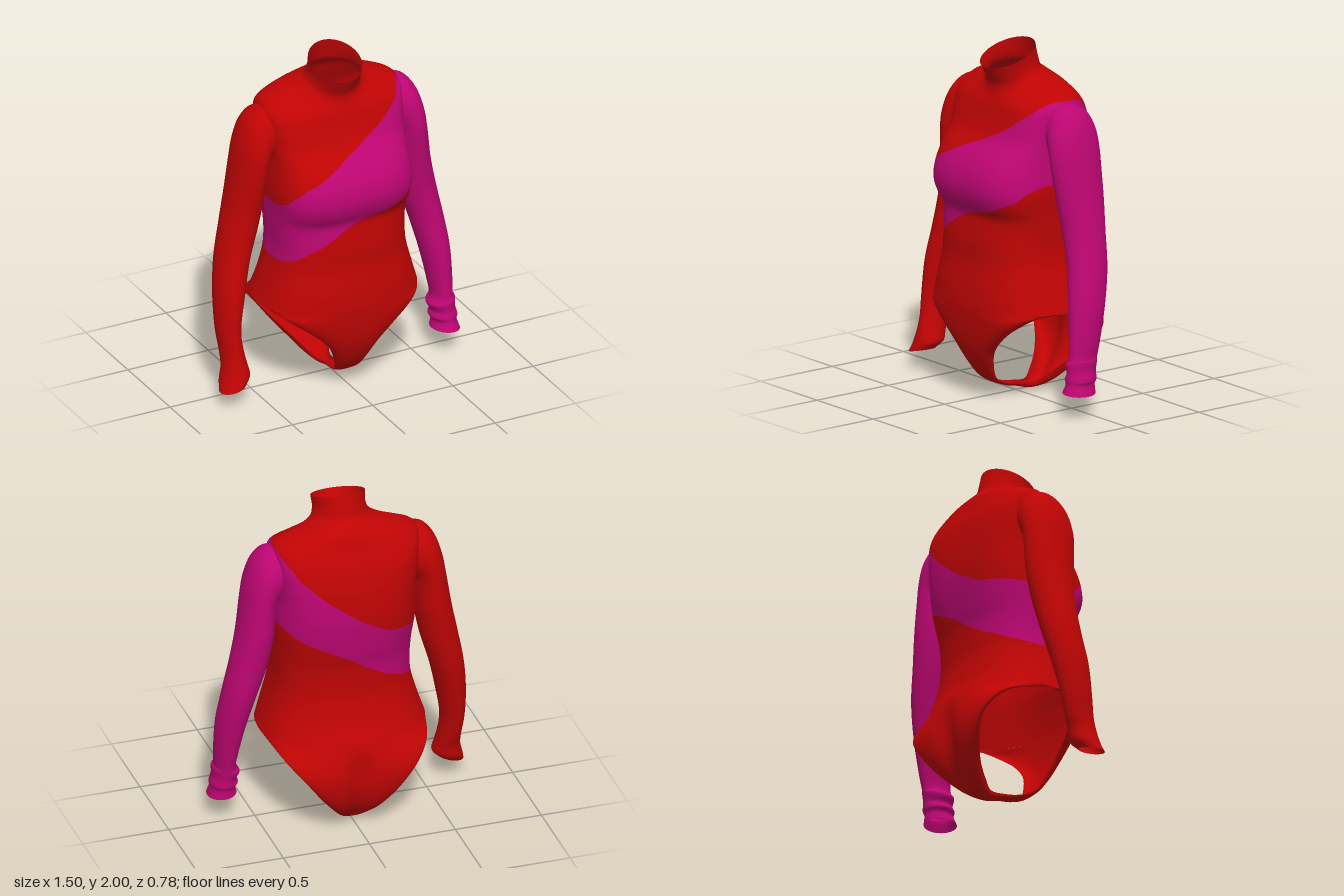
import * as THREE from 'three';

const RED = 0xc00404, MAGENTA = 0xbe0672;
const V = (x, y, z) => new THREE.Vector3(x, y, z);
const spow = (v, q) => Math.sign(v) * Math.pow(Math.abs(v), q);

// Smooth grid of points: point(column, row); closed grids wrap their columns
function grid(cols, rows, closed, point) {
  const pos = [], index = [], n = closed ? cols : cols + 1;
  for (let j = 0; j <= rows; j++)
    for (let i = 0; i < n; i++) pos.push(...point(i, j).toArray());
  for (let j = 0; j < rows; j++)
    for (let i = 0; i < cols; i++) {
      const a = j * n + i, b = j * n + (i + 1) % n;
      index.push(a, b, b + n, a, b + n, a + n);
    }
  const geo = new THREE.BufferGeometry();
  geo.setAttribute('position', new THREE.Float32BufferAttribute(pos, 3));
  geo.setIndex(index);
  geo.computeVertexNormals();
  return geo;
}

function cloth(name, geo, color) {
  const mesh = new THREE.Mesh(geo, new THREE.MeshStandardMaterial({ color, side: THREE.DoubleSide }));
  mesh.name = name;
  return mesh;
}

// Some rows of a closed grid, keeping the shared smooth normals
function rowsOf(geo, cols, from, to) {
  const part = geo.clone();
  part.setIndex(Array.from(geo.index.array).slice(from * cols * 6, to * cols * 6));
  return part;
}

// Piecewise linear lookup in [x, y] pairs
function lookup(table, x) {
  for (let i = 1; i < table.length; i++) {
    const [x0, y0] = table[i - 1], [x1, y1] = table[i];
    if (x <= x1 || i === table.length - 1)
      return THREE.MathUtils.lerp(y0, y1, THREE.MathUtils.clamp((x - x0) / (x1 - x0), 0, 1));
  }
}

// Torso sections, lower: half width, side y, side z, front y, front z, back y, back z,
// front roundness, back roundness
const TRUNK = [
  [.47, .54, 0, .55, .37, .55, -.345, .75, .9],
  [.435, .65, .02, .65, .365, .65, -.3, .75, .85],
  [.395, .8, .03, .8, .345, .8, -.265, .75, .8],
  [.385, .9, .03, .9, .345, .9, -.262, .75, .78],
  [.39, 1, .03, 1, .337, 1, -.268, .75, .78],
  [.395, 1.08, .03, 1.07, .332, 1.08, -.285, .7, .76],
  [.4, 1.14, .02, 1.13, .365, 1.14, -.295, .64, .74],
  [.408, 1.22, .02, 1.21, .388, 1.22, -.307, .62, .72],
  [.405, 1.32, 0, 1.31, .375, 1.32, -.315, .62, .7],
];
// Torso sections, chest to collar
const YOKE = [
  [.4, 1.42, -.02, 1.41, .32, 1.42, -.312, .62, .66],
  [.405, 1.52, -.03, 1.5, .24, 1.52, -.3, .57, .6],
  [.412, 1.64, -.04, 1.6, .2, 1.63, -.275, .55, .57],
  [.415, 1.735, -.04, 1.67, .18, 1.72, -.235, .68, .68],
  [.32, 1.785, -.03, 1.71, .165, 1.795, -.205, .85, .85],
  [.21, 1.815, 0, 1.74, .158, 1.84, -.165, 1, 1],
  [.163, 1.84, .02, 1.78, .157, 1.865, -.135, 1, 1],
  [.147, 1.885, .04, 1.825, .18, 1.92, -.12, 1, 1],
  [.15, 1.94, .055, 1.88, .21, 2, -.1, 1, 1],
];
// Heights of the diagonal band's edges across the front and back
const BAND = {
  lowFront: [[-.4, .82], [-.3, .91], [-.1, 1.03], [0, 1.07], [.2, 1.12], [.35, 1.19], [.4, 1.27]],
  lowBack: [[-.4, .82], [-.2, .92], [0, 1.03], [.15, 1.11], [.3, 1.19], [.4, 1.27]],
  topFront: [[-.4, 1.18], [-.35, 1.27], [-.3, 1.32], [-.1, 1.42], [0, 1.47], [.2, 1.6], [.4, 1.735]],
  topBack: [[-.4, 1.18], [-.2, 1.21], [0, 1.32], [.15, 1.44], [.3, 1.6], [.4, 1.735]],
};

function torso(group) {
  const COLS = 128, LOW = 26, MID = 18, TOP = 36;
  const columns = [];
  for (let i = 0; i < COLS; i++) {
    const a = i / COLS * Math.PI * 2, s = Math.sin(a), c = Math.cos(a);
    const curve = new THREE.CatmullRomCurve3([...TRUNK, ...YOKE].map(([w, ys, zs, yf, zf, yb, zb, qf, qb]) => {
      const [y, z, q] = c > 0 ? [yf, zf, qf] : [yb, zb, qb], k = Math.pow(Math.abs(c), q);
      return V(w * spow(s, q), ys + (y - ys) * k, zs + (z - zs) * k);
    }));
    const x = .4 * spow(s, .68), face = c > 0 ? 'Front' : 'Back';
    // Curve parameter at a given height
    const at = (y) => {
      let lo = 0, hi = 1;
      for (let n = 0; n < 24; n++) {
        const m = (lo + hi) / 2;
        if (curve.getPoint(m).y < y) lo = m; else hi = m;
      }
      return lo;
    };
    columns.push({ curve, t: [0, at(lookup(BAND['low' + face], x)), at(lookup(BAND['top' + face], x)), 1] });
  }
  const geo = grid(COLS, LOW + MID + TOP, true, (i, j) => {
    const { curve, t } = columns[i];
    const u = j <= LOW ? THREE.MathUtils.lerp(t[0], t[1], j / LOW)
      : j <= LOW + MID ? THREE.MathUtils.lerp(t[1], t[2], (j - LOW) / MID)
        : THREE.MathUtils.lerp(t[2], t[3], (j - LOW - MID) / TOP);
    return curve.getPoint(u);
  });
  group.add(
    cloth('lowerTorso', rowsOf(geo, COLS, 0, LOW), RED),
    cloth('diagonalBand', rowsOf(geo, COLS, LOW, LOW + MID), MAGENTA),
    cloth('yokeAndCollar', rowsOf(geo, COLS, LOW + MID, LOW + MID + TOP), RED));
}

// High-cut brief, front to back: half width, middle y, middle z, edge y, edge z, roundness
const BRIEF = [
  [.47, .55, .37, .54, 0, .75],
  [.42, .5, .367, .525, .16, .75],
  [.35, .45, .362, .475, .235, .75],
  [.25, .37, .35, .4, .265, .75],
  [.155, .28, .325, .3, .265, .75],
  [.105, .19, .28, .2, .235, .75],
  [.075, .1, .205, .115, .19, .75],
  [.05, .05, .1, .068, .1, .75],
  [.035, .025, 0, .05, 0, .75],
  [.045, .003, -.09, .042, -.1, .75],
  [.08, .02, -.2, .08, -.16, .7],
  [.135, .085, -.3, .145, -.235, .65],
  [.225, .2, -.367, .25, -.31, .65],
  [.315, .33, -.39, .365, -.34, .7],
  [.41, .44, -.378, .475, -.25, .82],
  [.47, .55, -.345, .54, 0, .9],
];

// Soft groove down the middle of the seat
const cleft = (x, y, z) => z < -.2 && y < .55
  ? .042 * Math.exp(-((x / .075) ** 2)) * THREE.MathUtils.smoothstep(.55 - y, 0, .2)
    * THREE.MathUtils.smoothstep(-z, .2, .3) : 0;

function brief() {
  const COLS = 72, ROWS = 72;
  const mid = new THREE.CatmullRomCurve3(BRIEF.map(([, y, z, , , q]) => V(q, y, z)));
  const edge = new THREE.CatmullRomCurve3(BRIEF.map(([w, , , y, z]) => V(w, y, z)));
  return cloth('brief', grid(COLS, ROWS, false, (i, j) => {
    const m = mid.getPoint(j / ROWS), e = edge.getPoint(j / ROWS);
    const a = (i / COLS - .5) * Math.PI, k = Math.pow(Math.max(0, Math.cos(a)), m.x);
    const p = V(e.x * spow(Math.sin(a), m.x), e.y + (m.y - e.y) * k, e.z + (m.z - e.z) * k);
    p.z += cleft(p.x, p.y, p.z);
    return p;
  }), RED);
}

// Sleeve sections: inner x, inner y, outer x, outer y, centre z, half depth
const ARM = [
  [.3, 1.48, .32, 1.7, -.035, .11],
  [.35, 1.45, .395, 1.722, -.038, .13],
  [.375, 1.42, .46, 1.714, -.038, .147],
  [.39, 1.41, .52, 1.65, -.035, .158],
  [.4, 1.39, .565, 1.53, -.032, .162],
  [.405, 1.33, .592, 1.38, -.035, .158],
  [.413, 1.2, .62, 1.2, -.045, .146],
  [.445, 1.02, .657, 1.02, -.045, .128],
  [.505, .82, .697, .82, -.03, .12],
  [.555, .62, .722, .62, .005, .113],
  [.592, .42, .724, .42, .035, .096],
];
const LEFT_CUFF = [
  [.6, .33, .722, .33, .05, .09],
  [.575, .29, .73, .33, .055, .094],
  [.595, .25, .73, .27, .06, .088],
  [.582, .22, .742, .215, .065, .092],
  [.598, .195, .734, .195, .07, .087],
  [.585, .15, .75, .135, .08, .097],
];
const RIGHT_CUFF = [
  [.585, .3, .715, .3, .06, .088],
  [.572, .22, .718, .22, .085, .084],
  [.565, .17, .738, .14, .1, .087],
  [.6, .125, .752, .09, .125, .072],
];

function sleeve(name, side, cuff, color) {
  const list = [...ARM, ...cuff], COLS = 40, ROWS = 84;
  const inner = new THREE.CatmullRomCurve3(list.map((r) => V(r[0], r[1], r[4])));
  const outer = new THREE.CatmullRomCurve3(list.map((r) => V(r[2], r[3], r[5])));
  return cloth(name, grid(COLS, ROWS, true, (i, j) => {
    const a = side * i / COLS * Math.PI * 2, t = j / ROWS;
    const p = inner.getPoint(t), o = outer.getPoint(t), k = (1 + Math.cos(a)) / 2;
    return V(side * (p.x + (o.x - p.x) * k), p.y + (o.y - p.y) * k, p.z + o.z * Math.sin(a));
  }), color);
}

export function createModel() {
  const group = new THREE.Group();
  group.name = 'bodysuit';
  torso(group);
  group.add(brief(),
    sleeve('leftSleeve', 1, LEFT_CUFF, MAGENTA),
    sleeve('rightSleeve', -1, RIGHT_CUFF, RED));
  return group;
}
